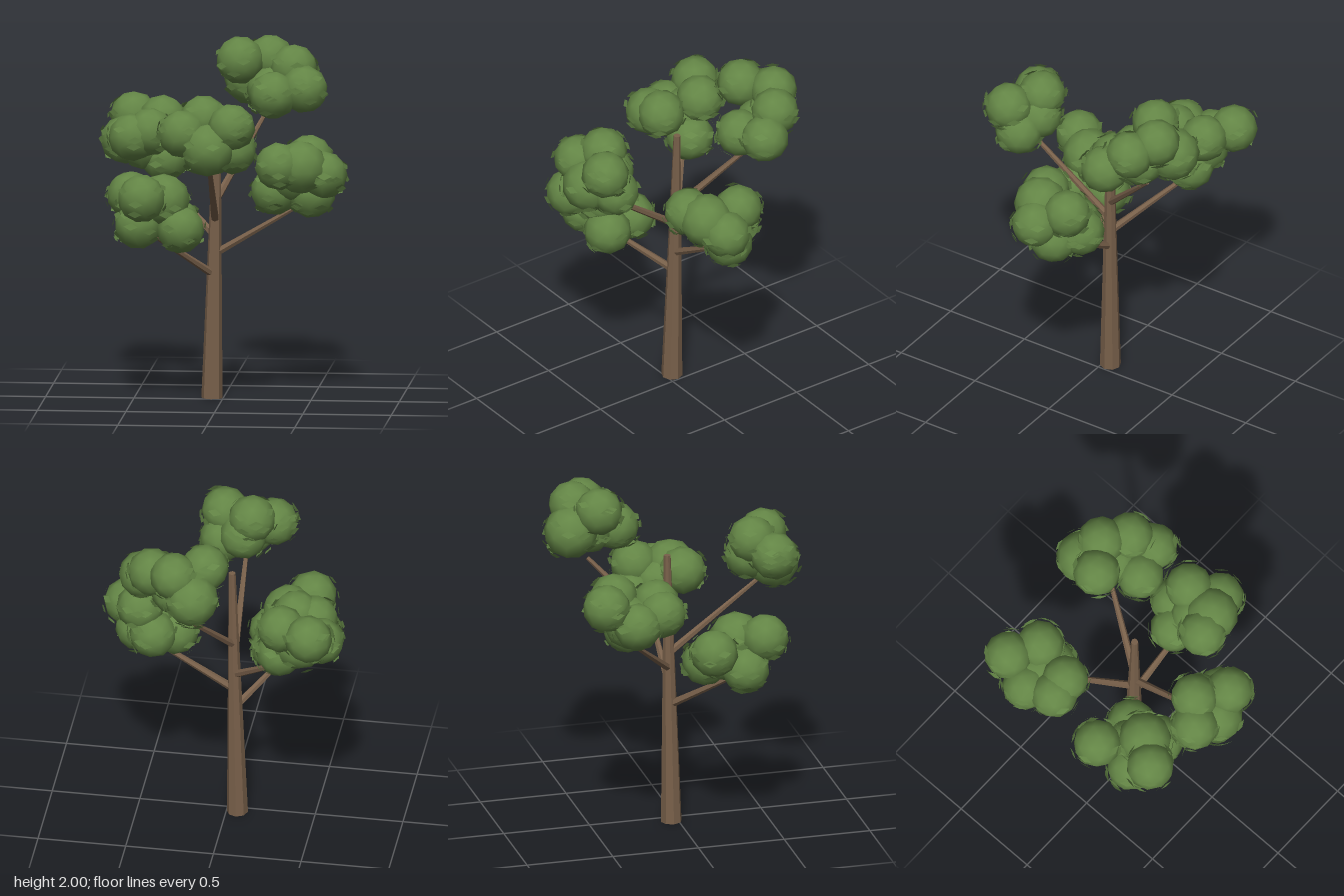
import * as THREE from 'three';
import { mergeGeometries } from 'three/addons/utils/BufferGeometryUtils.js';

const V = (x, y, z) => new THREE.Vector3(x, y, z);

const TRUNK_BASE = V(-0.063, 0, -0.04);
const TRUNK_TOP = V(-0.035, 1.6, -0.056);

// Each bough: height where it leaves the trunk, branch tip, and leaf ball centres (largest first)
const boughs = [
  { name: 'left', height: 0.82, tip: [0.44, 1.11, -0.04], balls: [
    [0.45, 1.34, 0.09], [0.33, 1.35, 0.13], [0.575, 1.29, 0.04], [0.48, 1.36, -0.11],
    [0.29, 1.18, -0.05], [0.5, 1.17, -0.03], [0.4, 1.21, -0.15], [0.4, 1.27, 0.0]] },
  { name: 'frontRight', height: 0.7, tip: [-0.38, 0.98, 0.27], balls: [
    [-0.31, 1.17, 0.27], [-0.42, 1.2, 0.41], [-0.45, 1.03, 0.29], [-0.21, 1.01, 0.3],
    [-0.25, 1.02, 0.11], [-0.51, 1.17, 0.09], [-0.36, 1.08, 0.2]] },
  { name: 'front', height: 1.01, tip: [-0.03, 1.42, 0.5], balls: [
    [-0.03, 1.505, 0.56], [-0.07, 1.66, 0.43], [-0.18, 1.59, 0.53], [0.1, 1.63, 0.54],
    [0.1, 1.49, 0.47], [-0.02, 1.55, 0.42]] },
  { name: 'backRight', height: 0.92, tip: [-0.42, 1.25, -0.38], balls: [
    [-0.47, 1.39, -0.39], [-0.55, 1.525, -0.55], [-0.59, 1.41, -0.38], [-0.38, 1.52, -0.46],
    [-0.53, 1.45, -0.22], [-0.43, 1.48, -0.23], [-0.36, 1.31, -0.38]] },
  { name: 'backLeft', height: 1.12, tip: [0.19, 1.54, -0.46], balls: [
    [0.11, 1.74, -0.58], [0.06, 1.865, -0.43], [0.22, 1.86, -0.54], [0.36, 1.82, -0.45],
    [0.43, 1.72, -0.33], [0.26, 1.69, -0.28], [0.23, 1.7, -0.44]] },
];

// Small seeded generator
function seeded(seed) {
  return () => {
    seed = (seed * 16807) % 2147483647;
    return seed / 2147483647;
  };
}

// Tapered limb between two points
function limb(name, a, b, r0, r1, sides, material) {
  const geo = new THREE.CylinderGeometry(r1, r0, a.distanceTo(b), sides);
  const mesh = new THREE.Mesh(geo, material);
  mesh.name = name;
  mesh.position.copy(a).lerp(b, 0.5);
  mesh.quaternion.setFromUnitVectors(V(0, 1, 0), b.clone().sub(a).normalize());
  return mesh;
}

// Flat diamond leaf, wide in x and facing +z
function leafGeometry() {
  const shape = new THREE.Shape();
  shape.moveTo(-0.042, 0);
  shape.lineTo(0, -0.021);
  shape.lineTo(0.042, 0);
  shape.lineTo(0, 0.021);
  return new THREE.ShapeGeometry(shape);
}

// Leaves hovering round the sides of the balls, skipping any buried in a neighbour
function leafScatter(balls, random) {
  const leaf = leafGeometry();
  const holder = new THREE.Object3D();
  const leaves = [];
  for (const { centre, radius } of balls) {
    for (let i = 0; i < 20; i++) {
      const angle = random() * Math.PI * 2;
      const up = -0.75 + 1.35 * random();
      const flat = Math.sqrt(1 - up * up);
      const lift = 1.01 + 0.09 * random();
      const tilt = (random() - 0.5) * 0.5;
      const normal = V(Math.cos(angle) * flat, up, Math.sin(angle) * flat);
      const p = centre.clone().addScaledVector(normal, radius * lift);
      if (balls.some((ball) => p.distanceTo(ball.centre) < ball.radius)) continue;
      holder.position.copy(p);
      holder.lookAt(p.clone().add(normal));
      holder.rotateX(tilt);
      holder.updateMatrix();
      leaves.push(leaf.clone().applyMatrix4(holder.matrix));
    }
  }
  return mergeGeometries(leaves);
}

export function createModel() {
  const bark = new THREE.MeshStandardMaterial({ color: 0x78604a, flatShading: true });
  bark.name = 'bark brown';
  const green = new THREE.MeshStandardMaterial({ color: 0x648646, side: THREE.DoubleSide });
  green.name = 'leaf green';

  const tree = new THREE.Group();
  tree.name = 'tree';
  const random = seeded(4711);

  // Slightly leaning trunk
  tree.add(limb('trunk', TRUNK_BASE, TRUNK_TOP, 0.06, 0.02, 8, bark));

  // Branches with their foliage
  for (const { name, height, tip, balls } of boughs) {
    const bough = new THREE.Group();
    bough.name = name + 'Bough';
    const root = TRUNK_BASE.clone().lerp(TRUNK_TOP, height / TRUNK_TOP.y);
    bough.add(limb('branch', root, V(...tip), 0.023, 0.012, 6, bark));

    const clump = balls.map((p, i) => ({ centre: V(...p), radius: i === 0 ? 0.152 : 0.136 }));
    clump.forEach(({ centre, radius }, i) => {
      const ball = new THREE.Mesh(new THREE.IcosahedronGeometry(radius, 1), green);
      ball.name = 'leafBall' + (i + 1);
      ball.position.copy(centre);
      ball.rotation.set(random() * 3, random() * 3, 0);
      bough.add(ball);
    });

    const leaves = new THREE.Mesh(leafScatter(clump, random), green);
    leaves.name = 'leaves';
    bough.add(leaves);
    tree.add(bough);
  }
  return tree;
}
